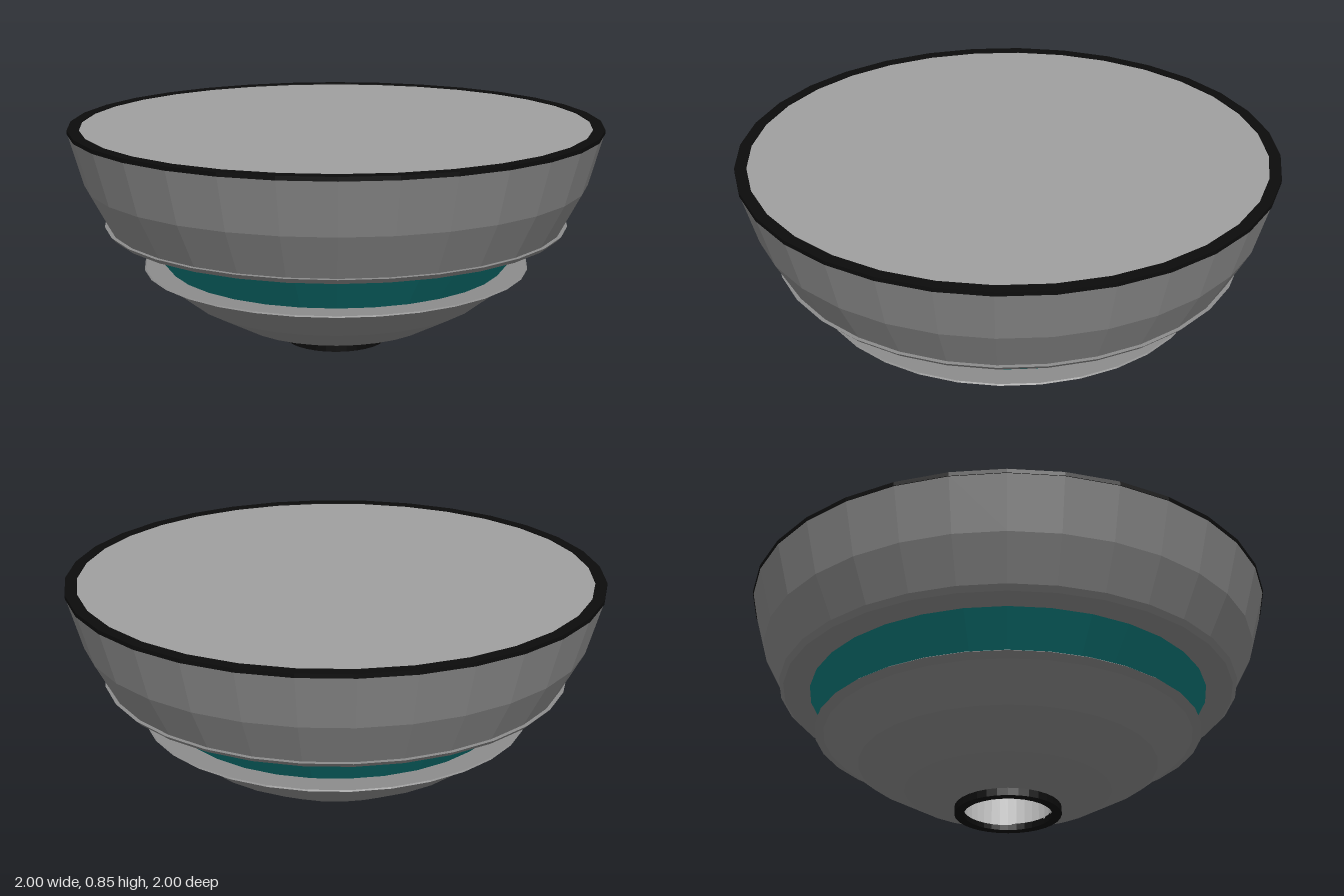
import * as THREE from 'three';

const SIDES = 32;

export function createModel() {
  const model = new THREE.Group();

  // Faceted solid of revolution; profiles run from bottom to top along the outside
  const turned = (name, color, profile) => {
    const points = profile.map(([r, y]) => new THREE.Vector2(r, y));
    const material = new THREE.MeshStandardMaterial({ color, flatShading: true });
    const mesh = new THREE.Mesh(new THREE.LatheGeometry(points, SIDES), material);
    mesh.name = name;
    model.add(mesh);
  };

  const body = 0x8c8c8c, black = 0x0c0c0c, teal = 0x0d8080;

  // Black foot ring, open in the middle
  turned('footRing', black, [
    [0.165, 0.025], [0.165, 0], [0.2, 0], [0.2, 0.028], [0.165, 0.028],
  ]);

  // Hollow socket inside the foot, with its closed end
  turned('footSocket', 0xcccccc, [[0, 0.3], [0.165, 0.3], [0.165, 0.02]]);

  // Lower bowl with a thin flange
  turned('lowerBowl', body, [
    [0.19, 0.026], [0.39, 0.09], [0.565, 0.187], [0.7, 0.295],
    [0.735, 0.308], [0.73, 0.312], [0.64, 0.312],
  ]);

  // Coloured band between the bowls
  turned('band', teal, [[0.64, 0.308], [0.76, 0.462]]);

  // Upper bowl: flat underside, flange and curved wall
  turned('upperBowl', body, [
    [0.75, 0.462], [0.86, 0.464], [0.877, 0.482], [0.862, 0.482],
    [0.945, 0.642], [0.998, 0.837],
  ]);

  // Black rim around the top
  turned('rim', black, [
    [0.955, 0.835], [1, 0.835], [1, 0.85], [0.957, 0.85], [0.957, 0.835],
  ]);

  // Flat lid within the rim
  turned('lid', 0xa0a0a0, [[0.96, 0.846], [0, 0.846]]);

  return model;
}
